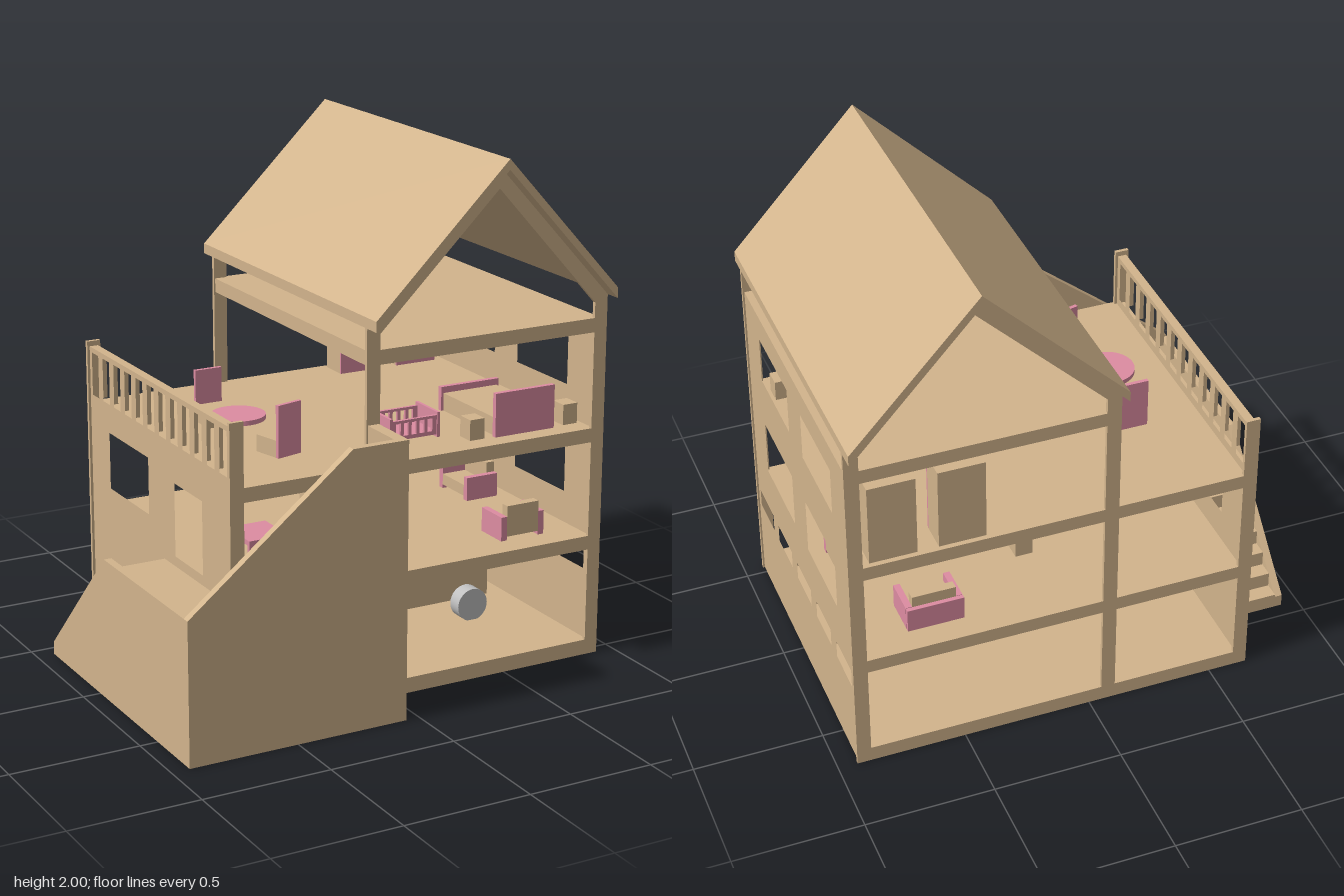
import * as THREE from 'three';

const mat = (name, color) => Object.assign(new THREE.MeshStandardMaterial({ color }), { name });

export function createModel() {
  const wood = mat('wood', 0xd2b48c), pink = mat('pink', 0xdd8ca2), grey = mat('grey', 0xc0c0c0);
  const house = new THREE.Group();
  house.name = 'dollhouse';

  const group = (name, parent = house) => {
    const g = new THREE.Group();
    g.name = name;
    parent.add(g);
    return g;
  };
  const add = (name, geo, material, parent) => {
    const m = new THREE.Mesh(geo, material);
    m.name = name;
    parent.add(m);
    return m;
  };
  // Box given by its minimum and maximum on each axis
  const box = (name, [x0, x1], [y0, y1], [z0, z1], material = wood, parent = house) =>
    add(name, new THREE.BoxGeometry(x1 - x0, y1 - y0, z1 - z0)
      .translate((x0 + x1) / 2, (y0 + y1) / 2, (z0 + z1) / 2), material, parent);
  const rect = (a0, a1, b0, b1) => [[a0, b0], [a1, b0], [a1, b1], [a0, b1]];
  const toShape = (pts, holes = []) => {
    const s = new THREE.Shape(pts.map(p => new THREE.Vector2(...p)));
    s.holes = holes.map(h => new THREE.Path(h.map(p => new THREE.Vector2(...p))));
    return s;
  };
  // Plate drawn in (x, y), reaching from z0 to z1
  const plateXY = (name, pts, z0, z1, holes, parent = house, material = wood) =>
    add(name, new THREE.ExtrudeGeometry(toShape(pts, holes), { depth: z1 - z0, bevelEnabled: false })
      .translate(0, 0, z0), material, parent);
  // Plate drawn in (z, y), reaching from x0 to x1
  const plateZY = (name, pts, x0, x1, holes = [], parent = house, material = wood) => {
    const flip = a => a.map(([z, y]) => [-z, y]);
    return add(name, new THREE.ExtrudeGeometry(toShape(flip(pts), holes.map(flip)),
      { depth: x1 - x0, bevelEnabled: false }).rotateY(Math.PI / 2).translate(x0, 0, 0), material, parent);
  };

  // Open front and back frames with one hole per room
  const levels = [[0.06, 0.43], [0.485, 0.86], [0.915, 1.29]];
  const frame = [[-0.655, 0], [0.925, 0], [0.925, 1.43], [0.44, 1.96], [-0.105, 1.43],
    [-0.105, 0.915], [-0.6, 0.915], [-0.6, 1.16], [-0.655, 1.16]];
  const rooms = levels.map(([a, b]) => rect(-0.05, 0.87, a, b));
  rooms.push(...levels.slice(0, 2).map(([a, b]) => rect(-0.6, -0.105, a, b)));
  rooms.push([[-0.05, 1.345], [0.87, 1.345], [0.87, 1.405], [0.44, 1.88], [-0.05, 1.405]]);
  plateXY('frontFrame', frame, 0.53, 0.545, rooms);
  plateXY('backFrame', frame, -0.69, -0.675, rooms);

  // Floors
  [[0, 0.06, -0.61], [0.43, 0.485, -0.61], [0.86, 0.915, -0.61], [1.29, 1.345, -0.1]].forEach(([a, b, x], i) =>
    box('floor' + (i + 1), [x, 0.88], [a, b], [-0.675, 0.53]));

  // Side walls with windows and a door
  const windows = [];
  for (const [y0, y1] of [[0.61, 0.835], [1.04, 1.23]])
    for (const [z0, z1] of [[0.01, 0.36], [-0.505, -0.155]]) windows.push(rect(z0, z1, y0, y1));
  for (let i = 0; i < 5; i++) windows.push(rect(0.33 - i * 0.243, 0.505 - i * 0.243, 0.34, 0.415));
  plateZY('leftWall', rect(-0.675, 0.53, 0, 1.335), 0.88, 0.918, windows);
  plateZY('rightWall', rect(-0.675, 0.53, 0, 0.915), -0.645, -0.61,
    [rect(0.07, 0.3, 0.485, 0.8), rect(-0.505, -0.155, 0.61, 0.835)]);

  // Terrace railing
  const gaps = [];
  for (let i = 0; i < 12; i++) gaps.push(rect(-0.655 + i * 0.1, -0.595 + i * 0.1, 0.95, 1.12));
  plateZY('terraceRailing', rect(-0.675, 0.53, 0.915, 1.14), -0.645, -0.61, gaps);

  // Gable roof
  plateXY('roof', [[-0.105, 1.43], [0.44, 1.96], [0.925, 1.43], [0.925, 1.47], [0.44, 2], [-0.105, 1.47]],
    -0.76, 0.61);

  // Outside staircase: two flights, landings and parapet walls
  const stairs = group('staircase');
  const flight = (start, y, run, rise, n) => {
    const pts = [];
    for (let i = 0; i < n; i++)
      pts.push([start + i * run, y + rise * (i + 1)], [start + (i + 1) * run, y + rise * (i + 1)]);
    return pts;
  };
  plateZY('lowerFlight', [[-0.44, 0], ...flight(-0.44, 0, 0.0625, 0.0606, 8),
    [0.73, 0.485], [0.73, 0.455], [0.06, 0.455], [-0.4, 0]], -0.9, -0.655, [], stairs);
  plateXY('upperFlight', [[-0.655, 0.455], ...flight(-0.655, 0.485, 0.061, 0.0614, 7),
    [-0.1, 0.915], [-0.1, 0.885], [-0.25, 0.885], [-0.62, 0.455]], 0.545, 0.73, [], stairs);
  plateXY('frontParapet', [[-0.93, 0], [-0.055, 0], [-0.055, 1.07], [-0.28, 1.07], [-0.93, 0.55]],
    0.73, 0.76, [], stairs);
  plateZY('sideParapet', [[-0.44, 0], [0.73, 0], [0.73, 0.55], [0.06, 0.55], [-0.44, 0.05]],
    -0.93, -0.9, [], stairs);
  box('endParapet', [-0.1, -0.055], [0, 1.07], [0.545, 0.73], wood, stairs);

  // Truck on the ground floor
  const truck = group('truck');
  plateXY('truckBody', [[-0.09, 0.13], [0.705, 0.13], [0.705, 0.235], [0.585, 0.38], [0.295, 0.38],
    [0.295, 0.25], [-0.09, 0.25]], -0.205, 0.095, [rect(0.415, 0.55, 0.255, 0.355)], truck);
  box('bumper', [0.705, 0.712], [0.17, 0.2], [-0.18, 0.07], wood, truck);
  for (const x of [0, 0.15, 0.6]) for (const z of [-0.238, 0.128])
    add('wheel', new THREE.CylinderGeometry(0.066, 0.066, 0.06, 32).rotateX(Math.PI / 2)
      .translate(x, 0.122, z), grey, truck);

  // Armchairs: pink arms, wooden seat and back, facing local +z
  const armchair = (x, z, turn, w) => {
    const g = group('armchair');
    g.position.set(x, 0.485, z);
    g.rotation.y = turn;
    for (const s of [-1, 1]) {
      const c = s * (w / 2 - 0.0125);
      box('arm', [c - 0.0125, c + 0.0125], [0, 0.095], [-0.06, 0.08], pink, g);
    }
    box('chairSeat', [-w / 2 + 0.025, w / 2 - 0.025], [0.015, 0.06], [-0.06, 0.08], wood, g);
    box('chairBack', [-w / 2 + 0.025, w / 2 - 0.025], [0.06, 0.137], [-0.06, -0.025], wood, g);
  };
  armchair(0.64, 0.38, Math.PI, 0.19);
  armchair(0.76, -0.13, -Math.PI / 2, 0.21);
  armchair(0.57, -0.51, 0, 0.22);
  box('sofaPanel', [0.46, 0.68], [0.485, 0.58], [-0.59, -0.572], pink);

  // Kitchen counter and pink table
  box('counter', [0.09, 0.16], [0.485, 0.565], [-0.33, 0.06]);
  add('counterPot', new THREE.CylinderGeometry(0.033, 0.033, 0.065, 16).translate(0.13, 0.597, -0.05), grey, house);
  const table = group('lowTable');
  box('lowTableTop', [-0.42, -0.26], [0.565, 0.585], [0.05, 0.23], pink, table);
  for (const x of [-0.41, -0.27]) for (const z of [0.06, 0.22])
    box('tableLeg', [x - 0.008, x + 0.008], [0.485, 0.565], [z - 0.008, z + 0.008], pink, table);

  // Bedroom: wardrobes, bed, bedside tables
  for (const x of [0.4, 0.66]) {
    box('wardrobe', [x, x + 0.18], [0.915, 1.24], [-0.67, -0.56]);
    box('wardrobeDoor', [x, x + 0.18], [0.915, 1.24], [-0.56, -0.551], pink);
  }
  box('headboard', [0.49, 0.75], [0.915, 1.085], [0.45, 0.47], pink);
  box('mattress', [0.5, 0.74], [0.915, 0.985], [0.08, 0.45]);
  box('footboard', [0.49, 0.75], [0.915, 1.01], [0.06, 0.08], pink);
  for (const x of [0.385, 0.798]) box('bedsideTable', [x, x + 0.063], [0.915, 0.995], [0.39, 0.46]);

  // Crib with slatted sides
  const crib = group('crib');
  const slots = [];
  for (let i = 0; i < 5; i++) slots.push(rect(0.127 + i * 0.034, 0.148 + i * 0.034, 0.94, 0.99));
  for (const z of [0.21, 0.35])
    plateXY('cribSide', rect(0.112, 0.303, 0.925, 1.0), z - 0.006, z + 0.006, slots, crib, pink);
  for (const x of [0.106, 0.309]) box('cribEnd', [x - 0.006, x + 0.006], [0.915, 1.012], [0.2, 0.36], pink, crib);
  box('cribBase', [0.112, 0.303], [0.925, 0.938], [0.216, 0.344], pink, crib);

  // Terrace table and chairs
  add('terraceTableTop', new THREE.CylinderGeometry(0.103, 0.103, 0.018, 48).translate(-0.35, 1.0, 0.01), pink, house);
  add('terraceTableLeg', new THREE.CylinderGeometry(0.02, 0.02, 0.076, 24).translate(-0.35, 0.953, 0.01), wood, house);
  for (const [x, z, turn] of [[-0.343, -0.205, 0], [-0.298, 0.237, Math.PI + 0.24]]) {
    const chair = group('terraceChair');
    chair.position.set(x, 0.915, z);
    chair.rotation.y = turn;
    box('chairSeat', [-0.055, 0.055], [0, 0.065], [-0.045, 0.062], wood, chair);
    box('chairBack', [-0.055, 0.055], [0, 0.2], [-0.06, -0.045], pink, chair);
  }
  return house;
}
